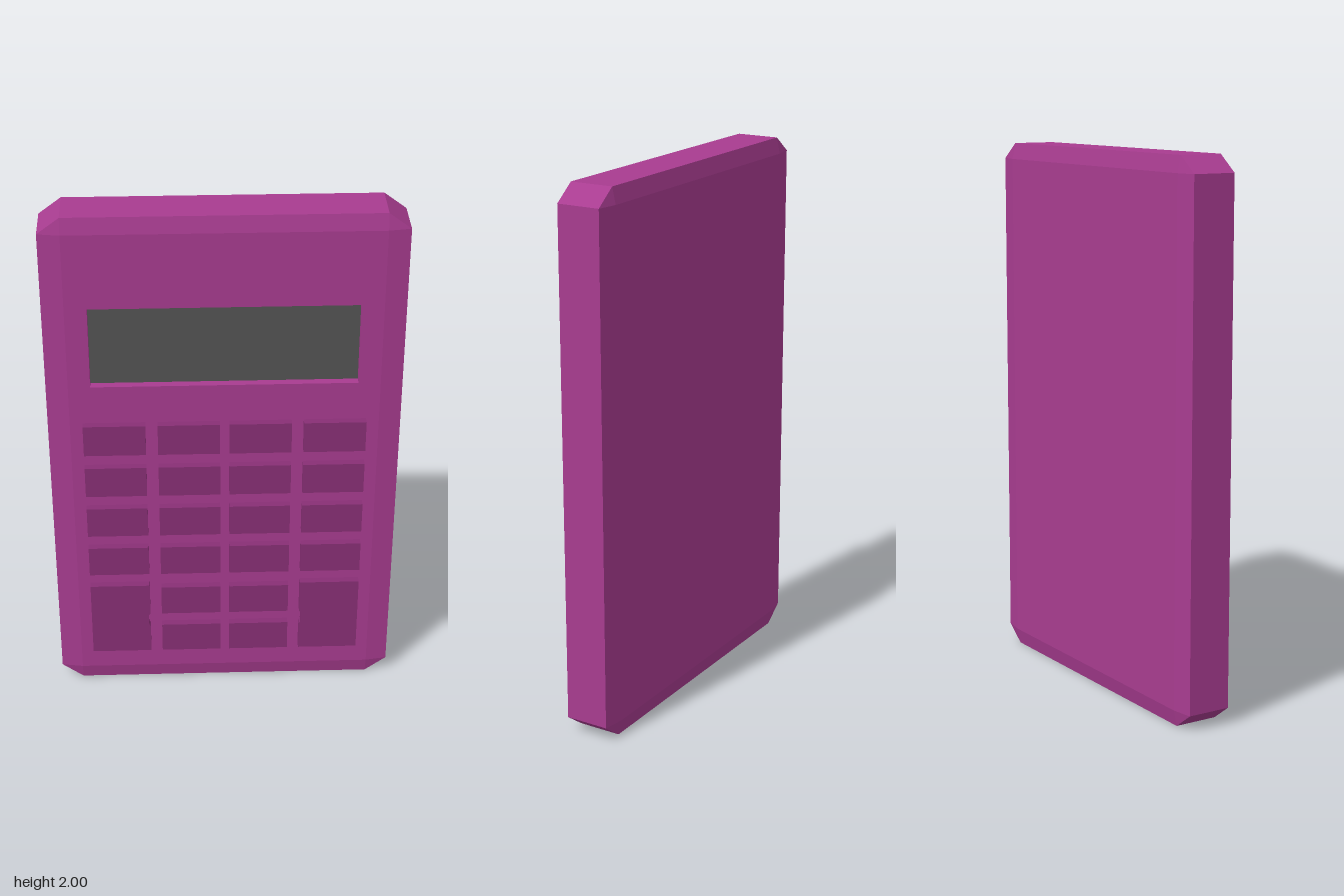
import * as THREE from 'three';

const mat = (name, color) => {
  const m = new THREE.MeshStandardMaterial({ color });
  m.name = name;
  return m;
};

// Flat-faced walls between successive rings of points (counterclockwise from the front)
function loft(rings) {
  const pos = [];
  const a = new THREE.Vector3(), b = new THREE.Vector3();
  const tri = (p, q, r) => {
    a.subVectors(q, p);
    b.subVectors(r, p);
    if (a.cross(b).length() > 1e-8) for (const v of [p, q, r]) pos.push(v.x, v.y, v.z);
  };
  for (let k = 0; k < rings.length - 1; k++) {
    const lo = rings[k], hi = rings[k + 1], n = lo.length;
    for (let i = 0; i < n; i++) {
      const j = (i + 1) % n;
      tri(lo[i], lo[j], hi[j]);
      tri(lo[i], hi[j], hi[i]);
    }
  }
  const g = new THREE.BufferGeometry();
  g.setAttribute('position', new THREE.Float32BufferAttribute(pos, 3));
  g.computeVertexNormals();
  return g;
}

// Rectangle whose corners are cut by cx, cy (a plain rectangle has paired points)
function ring(z, dx, dy) {
  const X = 0.56, Y = 0.94, pts = [];
  for (const [sx, sy] of [[1, 1], [-1, 1], [-1, -1], [1, -1]]) {
    const side = new THREE.Vector3(sx * (X + dx), 1 + sy * Y, z);
    const end = new THREE.Vector3(sx * X, 1 + sy * (Y + dy), z);
    pts.push(...(sx * sy > 0 ? [side, end] : [end, side]));
  }
  return pts;
}

const rectPoints = (x0, x1, y0, y1) =>
  [[x0, y0], [x1, y0], [x1, y1], [x0, y1]].map(([x, y]) => new THREE.Vector2(x, y));

export function createModel() {
  const model = new THREE.Group();
  const shell = mat('magenta casing', 0xa83c90);
  const keyMat = mat('dark magenta keys', 0x882f75);
  const glass = mat('grey display', 0x545454);

  const add = (name, geometry, material, parent = model) => {
    const mesh = new THREE.Mesh(geometry, material);
    mesh.name = name;
    parent.add(mesh);
    return mesh;
  };

  // Casing with chamfered edges
  const FRONT = 0.08, BACK = -0.11, FLOOR = 0.05;
  const casing = new THREE.Group();
  casing.name = 'casing';
  model.add(casing);
  add('casingSides', loft([
    ring(BACK, 0, 0), ring(-0.097, 0.08, 0.06), ring(0.067, 0.08, 0.06), ring(FRONT, 0, 0),
  ]), shell, casing);

  const back = add('casingBack', new THREE.PlaneGeometry(1.12, 1.88), shell, casing);
  back.rotation.y = Math.PI;
  back.position.set(0, 1, BACK);

  // Front panel with the display opening
  const win = rectPoints(-0.48, 0.48, 1.34, 1.655);
  const panel = new THREE.Shape(rectPoints(-0.56, 0.56, 0.06, 1.94));
  panel.holes.push(new THREE.Path(win));
  add('frontPanel', new THREE.ShapeGeometry(panel), shell, casing).position.z = FRONT;

  // Sunken display
  const atZ = z => win.map(p => new THREE.Vector3(p.x, p.y, z));
  add('displayRecess', loft([atZ(FRONT), atZ(FLOOR)]), shell, casing);
  add('display', new THREE.ShapeGeometry(new THREE.Shape(win)), glass).position.z = FLOOR;

  // Keypad: small keys, skipping the places taken by the two tall keys
  const keypad = new THREE.Group();
  keypad.name = 'keypad';
  model.add(keypad);
  const depth = 0.04, keyBack = 0.068;
  const columns = [-0.4, -0.13, 0.13, 0.4];
  const rows = [1.128, 0.948, 0.768, 0.588, 0.398, 0.218];
  rows.forEach((y, r) => columns.forEach((x, c) => {
    if (r > 3 && (c === 0 || c === 3)) return;
    add('key', new THREE.BoxGeometry(0.226, 0.124, depth), keyMat, keypad)
      .position.set(x, y, keyBack + depth / 2);
  }));

  // Tall keys with a shallow notch on the inner edge
  for (const s of [-1, 1]) {
    const outline = [
      [0.513, 0.156], [0.513, 0.471], [0.287, 0.471], [0.287, 0.335],
      [0.293, 0.328], [0.293, 0.282], [0.287, 0.275], [0.287, 0.156],
    ].map(([x, y]) => new THREE.Vector2(s * x, y));
    add('tallKey', new THREE.ExtrudeGeometry(new THREE.Shape(outline),
      { depth, bevelEnabled: false }), keyMat, keypad).position.z = keyBack;
  }
  return model;
}
